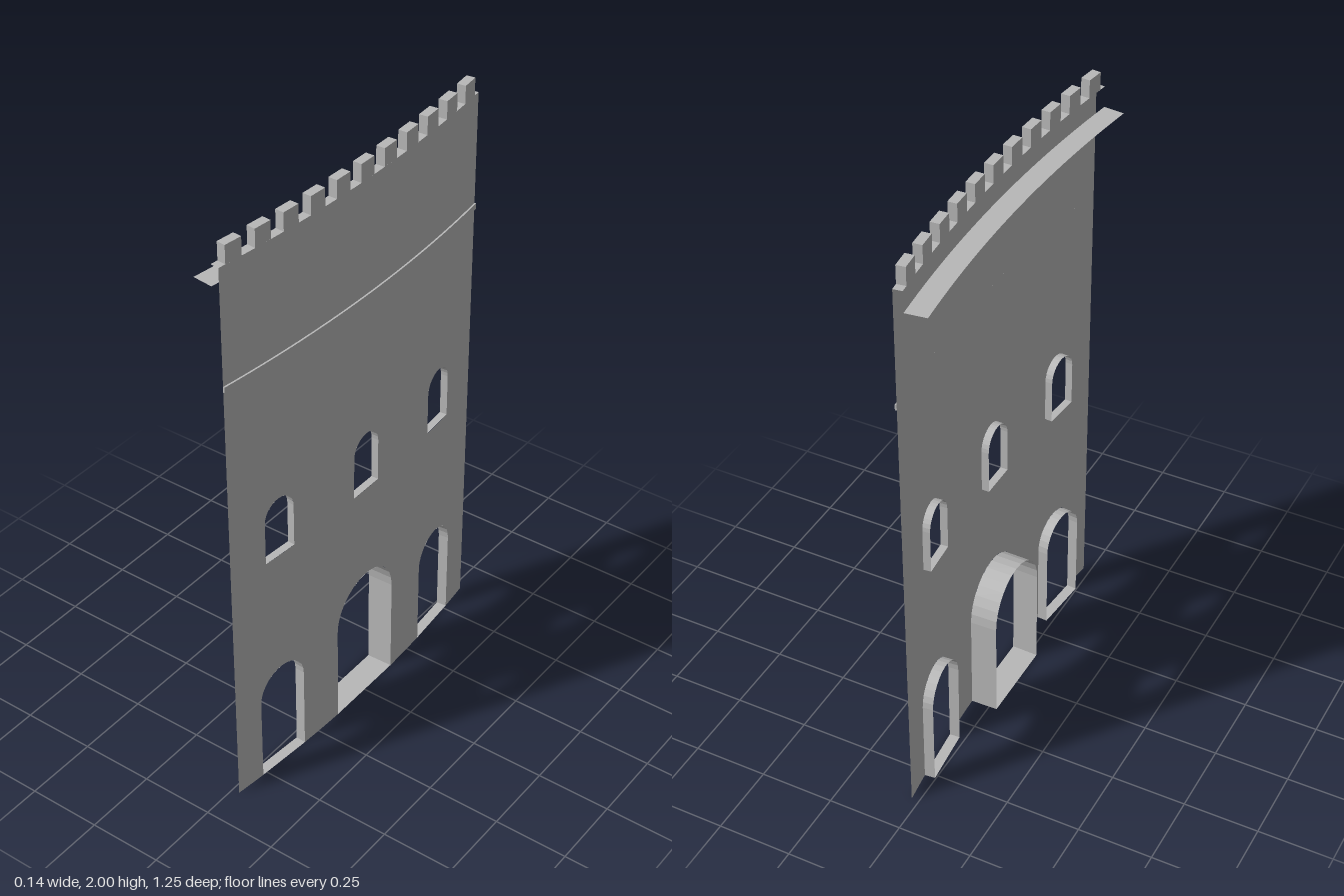
import * as THREE from 'three';

const R = 5;              // radius of the outer wall face
const CX = 0.065 - R;     // centre of curvature on x
const HALF = 0.626;       // half arc length of the wall
const TOP = 1.94;
const ARC_STEPS = 14;

const stone = new THREE.MeshStandardMaterial({ color: 0xb8b8b8, side: THREE.DoubleSide });
stone.name = 'grey stone';

// point at arc position s, height y, radius r
function at(s, y, r = R) {
  const a = s / R;
  return [CX + r * Math.cos(a), y, r * Math.sin(a)];
}

function quad(out, a, b, c, d) {
  out.push(...a, ...b, ...c, ...a, ...c, ...d);
}

function toMesh(name, out) {
  const g = new THREE.BufferGeometry();
  g.setAttribute('position', new THREE.Float32BufferAttribute(out, 3));
  g.computeVertexNormals();
  const m = new THREE.Mesh(g, stone);
  m.name = name;
  return m;
}

// arched openings: centre, half width, base, crown, reveal depth
const openings = [
  { name: 'mainDoorReveal', c: 0, w: 0.149, y0: 0, y1: 0.5, d: 0.09 },
  { name: 'windowReveal', c: 0, w: 0.063, y0: 0.84, y1: 1.053, d: 0.025 },
];
for (const side of [-1, 1]) {
  openings.push({ name: 'sideDoorReveal', c: side * 0.418, w: 0.099, y0: 0, y1: 0.4, d: 0.035 });
  openings.push({ name: 'windowReveal', c: side * 0.416, w: 0.063, y0: 0.84, y1: 1.053, d: 0.025 });
}

function archPoints(o) {
  const pts = [];
  for (let i = 0; i <= ARC_STEPS; i++) {
    const t = Math.PI * (1 - i / ARC_STEPS);
    pts.push([o.c + o.w * Math.cos(t), o.y1 - o.w + o.w * Math.sin(t)]);
  }
  return pts;
}

function archTop(o, s) {
  return o.y1 - o.w + Math.sqrt(Math.max(0, o.w ** 2 - (s - o.c) ** 2));
}

// curved sheet made of vertical columns, broken around the openings
function wall() {
  const cuts = [];
  for (let i = 0; i <= 24; i++) cuts.push(-HALF + (2 * HALF * i) / 24);
  for (const o of openings) for (const p of archPoints(o)) cuts.push(p[0]);
  cuts.sort((a, b) => a - b);
  const out = [];
  for (let i = 0; i + 1 < cuts.length; i++) {
    const a = cuts[i], b = cuts[i + 1];
    if (b - a < 1e-6) continue;
    const mid = (a + b) / 2;
    const holes = openings.filter((o) => Math.abs(mid - o.c) < o.w).sort((p, q) => p.y0 - q.y0);
    let ya = 0, yb = 0;
    const solid = (y) => {
      if (y > ya + 1e-6 || y > yb + 1e-6) quad(out, at(b, yb), at(a, ya), at(a, y), at(b, y));
    };
    for (const o of holes) {
      solid(o.y0);
      ya = archTop(o, a);
      yb = archTop(o, b);
    }
    solid(TOP);
  }
  return toMesh('curvedWall', out);
}

// lining of one opening, with its sill
function reveal(o) {
  const loop = [[o.c - o.w, o.y0], ...archPoints(o), [o.c + o.w, o.y0]];
  const out = [];
  loop.forEach(([s, y], i) => {
    const [s2, y2] = loop[(i + 1) % loop.length];
    quad(out, at(s, y), at(s2, y2), at(s2, y2, R - o.d), at(s, y, R - o.d));
  });
  return toMesh(o.name, out);
}

// flat curved strip facing up
function ledge(name, y, r0, r1, n = 24) {
  const out = [];
  for (let i = 0; i < n; i++) {
    const a = -HALF + (2 * HALF * i) / n, b = a + (2 * HALF) / n;
    quad(out, at(a, y, r0), at(b, y, r0), at(b, y, r1), at(a, y, r1));
  }
  return toMesh(name, out);
}

// closed curved block
function block(name, s0, s1, r0, r1, y0, y1, n) {
  const out = [];
  for (let i = 0; i < n; i++) {
    const a = s0 + ((s1 - s0) * i) / n, b = s0 + ((s1 - s0) * (i + 1)) / n;
    quad(out, at(a, y1, r0), at(b, y1, r0), at(b, y1, r1), at(a, y1, r1));
    quad(out, at(a, y0, r1), at(b, y0, r1), at(b, y0, r0), at(a, y0, r0));
    quad(out, at(b, y0, r1), at(a, y0, r1), at(a, y1, r1), at(b, y1, r1));
    quad(out, at(a, y0, r0), at(b, y0, r0), at(b, y1, r0), at(a, y1, r0));
  }
  quad(out, at(s0, y0, r1), at(s0, y0, r0), at(s0, y1, r0), at(s0, y1, r1));
  quad(out, at(s1, y0, r0), at(s1, y0, r1), at(s1, y1, r1), at(s1, y1, r0));
  return toMesh(name, out);
}

export function createModel() {
  const model = new THREE.Group();
  model.name = 'castleWall';
  model.add(wall());
  for (const o of openings) model.add(reveal(o));

  // string course on the outer face
  model.add(block('stringCourse', -HALF, HALF, R, R + 0.006, 1.538, 1.557, 24));

  // parapet top and the walkway behind it
  model.add(ledge('parapetTop', TOP, R - 0.03, R));
  model.add(ledge('walkway', 1.87, R - 0.1, R - 0.03));

  // battlements
  for (let i = -5; i <= 5; i++) {
    const c = i * 0.1138;
    model.add(block('merlon', c - 0.031, c + 0.031, R - 0.03, R, TOP, 2, 1));
  }
  return model;
}
